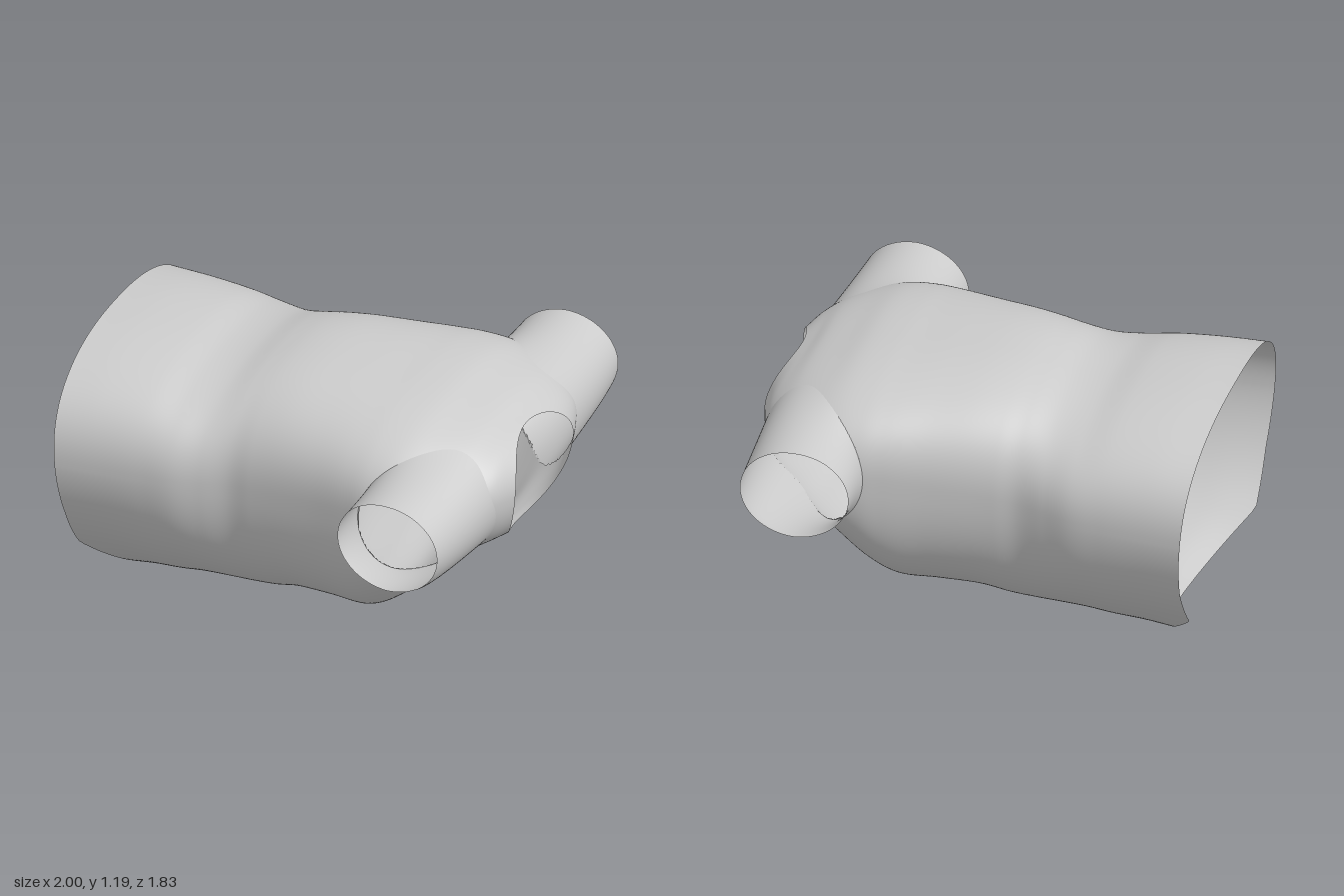
import * as THREE from 'three';

const material = new THREE.MeshStandardMaterial({ color: 0xcccccc, side: THREE.DoubleSide });

// Tube skin: rows of points joined into a closed loop around
function skin(name, rows, cols, point) {
  const pos = [], index = [];
  for (let i = 0; i <= rows; i++)
    for (let j = 0; j < cols; j++) pos.push(...point(i / rows, j).toArray());
  for (let i = 0; i < rows; i++)
    for (let j = 0; j < cols; j++) {
      const a = i * cols + j, b = i * cols + (j + 1) % cols;
      index.push(a, b, a + cols, b, b + cols, a + cols);
    }
  const g = new THREE.BufferGeometry();
  g.setAttribute('position', new THREE.Float32BufferAttribute(pos, 3));
  g.setIndex(index);
  g.computeVertexNormals();
  const mesh = new THREE.Mesh(g, material);
  mesh.name = name;
  return mesh;
}

// Oval armhole in the x-y plane
const ARM = { x: 0.706, y: 0.816, rx: 0.256, ry: 0.262 };

// Opens the armholes: drops triangles inside, then pulls the ragged rim onto the oval
function cutArmholes(mesh) {
  const g = mesh.geometry, p = g.attributes.position, idx = g.index.array, kept = [];
  const reach = (v) => (Math.abs(v.z) < 0.3 ? 9 : Math.hypot((v.x - ARM.x) / ARM.rx, (v.y - ARM.y) / ARM.ry) / 0.975);
  const vertex = (i) => new THREE.Vector3().fromBufferAttribute(p, i);
  for (let t = 0; t < idx.length; t += 3) {
    const c = new THREE.Vector3();
    for (let k = 0; k < 3; k++) c.add(vertex(idx[t + k]));
    if (reach(c.divideScalar(3)) >= 1) kept.push(idx[t], idx[t + 1], idx[t + 2]);
  }
  for (const i of new Set(kept)) {
    const v = vertex(i), r = reach(v);
    if (r < 1) p.setXY(i, ARM.x + (v.x - ARM.x) / r, ARM.y + (v.y - ARM.y) / r);
  }
  g.setIndex(kept);
}

// Torso stations from hem to neck: x, top, bottom, half width, height of widest point,
// roundness above, roundness below, forward shift of the sides
const stations = [
  [-0.995, 1.165, 0.0, 0.705, 0.73, 2.4, 1.78, 0],
  [-0.8, 1.165, 0.015, 0.69, 0.73, 2.4, 1.8, 0],
  [-0.6, 1.15, 0.03, 0.675, 0.73, 2.4, 1.87, 0],
  [-0.45, 1.125, 0.05, 0.66, 0.73, 2.4, 1.95, 0],
  [-0.32, 1.13, 0.06, 0.625, 0.73, 2.4, 2.08, 0],
  [-0.2, 1.16, 0.062, 0.597, 0.73, 2.5, 2.15, 0],
  [-0.1, 1.18, 0.078, 0.603, 0.74, 2.5, 2.22, 0],
  [0.02, 1.19, 0.11, 0.615, 0.75, 2.55, 2.3, 0],
  [0.2, 1.188, 0.125, 0.64, 0.77, 2.6, 2.4, 0],
  [0.37, 1.18, 0.14, 0.672, 0.79, 2.65, 2.5, 0],
  [0.48, 1.175, 0.208, 0.692, 0.79, 2.65, 2.45, 0],
  [0.6, 1.16, 0.325, 0.695, 0.79, 2.65, 2.3, 0],
  [0.7, 1.13, 0.418, 0.665, 0.81, 2.65, 2.2, 0.005],
  [0.79, 1.09, 0.483, 0.585, 0.82, 2.5, 2.1, 0.04],
  [0.85, 1.055, 0.515, 0.445, 0.83, 2.3, 2.05, 0.095],
  [0.895, 1.03, 0.53, 0.292, 0.82, 2.2, 2.1, 0.105],
];

function stationPoint([x, top, bottom, w, yc, nUp, nLow, side], a) {
  const c = Math.cos(a), s = Math.sin(a), n = c > 0 ? nUp : nLow;
  const y = yc + (c > 0 ? top - yc : bottom - yc) * Math.abs(c) ** (2 / n);
  const z = w * Math.sign(s) * Math.abs(s) ** (2 / n);
  // hem slants back, strongly at the belly; neckline dips in the middle
  const fade = Math.max(0, 1 - (x + 1) / 0.6);
  const low = Math.max(0, (0.25 - y) / 0.25);
  const slant = THREE.MathUtils.clamp((1.165 - y) / 0.7, 0, 1) ** 0.8;
  const hem = fade * (0.06 * slant + 0.22 * low);
  const neck = x > 0.75 ? 0.025 * c : 0;
  return new THREE.Vector3(x + hem + neck + side * Math.abs(s) ** 1.7, y, z);
}

const ROUND = 160;
function makeTorso() {
  const lines = [];
  for (let j = 0; j < ROUND; j++) {
    const a = (j / ROUND) * Math.PI * 2;
    lines.push(new THREE.CatmullRomCurve3(stations.map((st) => stationPoint(st, a))));
  }
  return skin('torso', 150, ROUND, (t, j) => lines[j].getPoint(t));
}

// Sleeve: starts on the torso surface, eases into an oval tube
function makeSleeve(name, torso, dir) {
  const N = 96, starts = [];
  const ray = new THREE.Raycaster();
  const angle = (j) => (dir * j * Math.PI * 2) / N;
  for (let j = 0; j < N; j++) {
    const x = ARM.x + ARM.rx * Math.cos(angle(j)), y = ARM.y + ARM.ry * Math.sin(angle(j));
    ray.set(new THREE.Vector3(x, y, 2 * dir), new THREE.Vector3(0, 0, -dir));
    const hit = ray.intersectObject(torso)[0];
    starts.push(new THREE.Vector3(x, y, hit && hit.point.z * dir > 0.2 ? Math.abs(hit.point.z) : 0.35));
  }
  return skin(name, 30, N, (t, j) => {
    const c = Math.cos(angle(j)), s = Math.sin(angle(j)), p = starts[j];
    // straighter taper underneath, full along the shoulder, quicker flare above
    const k = (1 - t) ** (1.5 + 0.5 * s - 0.7 * c);
    const x = THREE.MathUtils.lerp(0.688 + 0.236 * c, p.x, k);
    const y = THREE.MathUtils.lerp(0.835 + 0.204 * s, p.y, k);
    const z = THREE.MathUtils.lerp(p.z, 0.913 - 0.018 * Math.max(0, -c), t);
    return new THREE.Vector3(x, y, z * dir);
  });
}

export function createModel() {
  const group = new THREE.Group();
  group.name = 'shirt';
  const torso = makeTorso();
  torso.updateMatrixWorld(true);
  group.add(torso, makeSleeve('frontSleeve', torso, 1), makeSleeve('backSleeve', torso, -1));
  cutArmholes(torso);
  return group;
}
